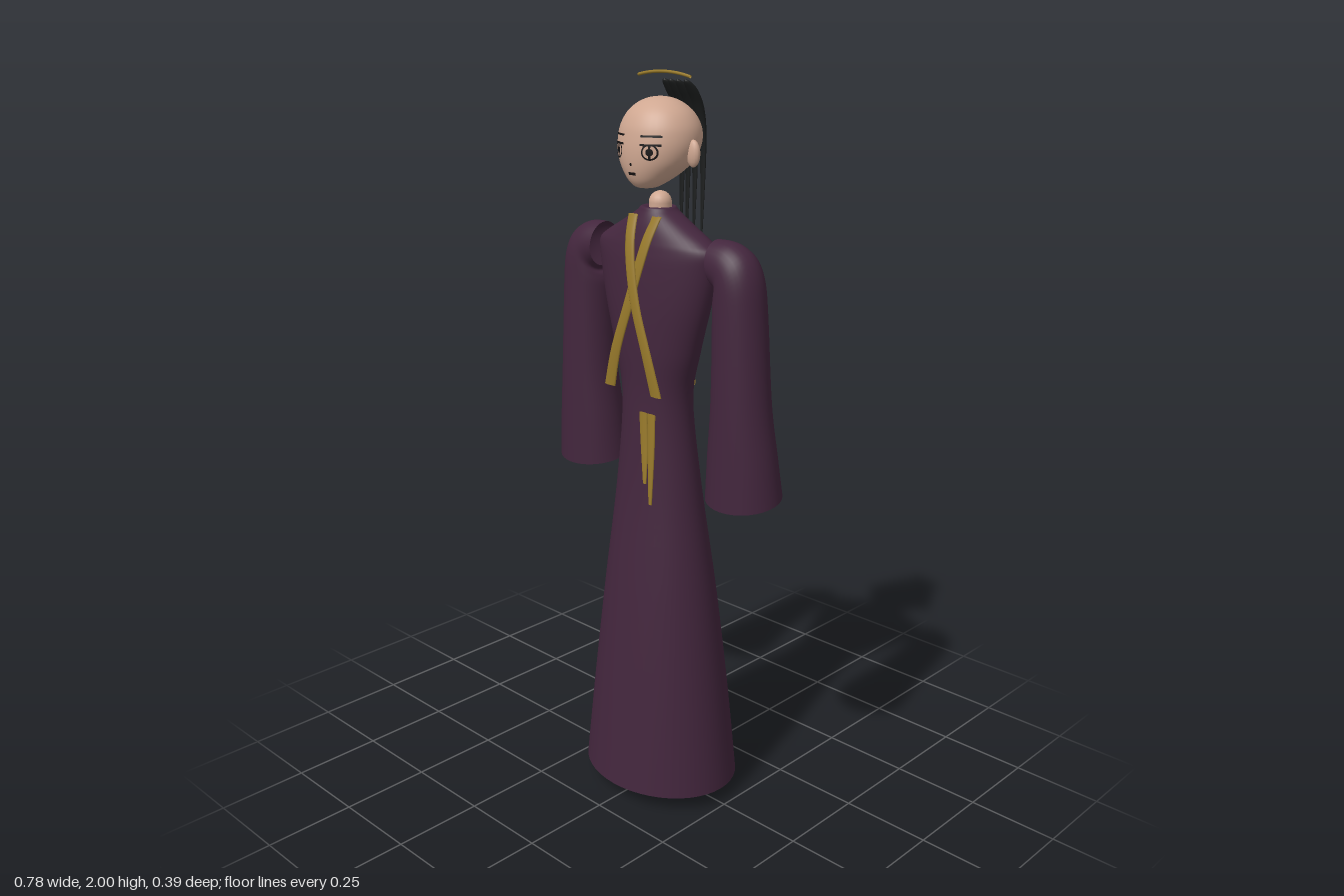
import * as THREE from 'three';

const D = THREE.DoubleSide;
const paint = (name, color, side = THREE.FrontSide) =>
  Object.assign(new THREE.MeshStandardMaterial({ color, side }), { name });

// Smoothly resample rows of numbers along their index
function smooth(rows, n) {
  const curves = rows[0].map((_, k) => new THREE.SplineCurve(rows.map((r, i) => new THREE.Vector2(i, r[k]))));
  return Array.from({ length: n + 1 }, (_, i) => curves.map(c => c.getPoint(i / n).y));
}

// Skin a list of closed rings; rings run from bottom to top
function loft(rings) {
  const n = rings[0].length, pos = rings.flat(2), idx = [];
  for (let j = 0; j < rings.length - 1; j++) {
    for (let i = 0; i < n; i++) {
      const a = j * n + i, b = j * n + (i + 1) % n;
      idx.push(a, a + n, b, b, a + n, b + n);
    }
  }
  const g = new THREE.BufferGeometry();
  g.setAttribute('position', new THREE.Float32BufferAttribute(pos, 3));
  g.setIndex(idx);
  g.computeVertexNormals();
  return g;
}

// Horizontal ellipses: row = [x, y, z, halfWidth, halfDepth]
const ellipses = (rows, sides) => loft(rows.map(([x, y, z, a, b]) =>
  Array.from({ length: sides }, (_, i) => {
    const t = i / sides * Math.PI * 2;
    return [x + a * Math.cos(t), y, z + b * Math.sin(t)];
  })));

// Body profile [y, halfWidth, front z, back z] to ellipse rows
const body = (profile, n) =>
  smooth(profile.map(([y, a, f, b]) => [0, y, (f + b) / 2, a, (f - b) / 2]), n);

// Depth of a body surface at x, y (dir 1 = front, -1 = back)
function surfaceZ(rows, x, y, dir) {
  let i = 0;
  while (i < rows.length - 2 && rows[i + 1][1] < y) i++;
  const p = rows[i], q = rows[i + 1];
  const k = THREE.MathUtils.clamp((y - p[1]) / (q[1] - p[1]), 0, 1);
  const [z, a, b] = [2, 3, 4].map(c => p[c] + (q[c] - p[c]) * k);
  return z + dir * b * Math.sqrt(Math.max(0, 1 - (x / a) ** 2));
}

// Lay a flat geometry onto a body surface
function drape(g, rows, dir, gap, sag = 0) {
  const p = g.attributes.position;
  for (let i = 0; i < p.count; i++) {
    const x = p.getX(i), y = p.getY(i) + sag * x * x;
    p.setXYZ(i, x, y, surfaceZ(rows, x, y, dir) + dir * gap);
  }
  g.computeVertexNormals();
  return g;
}

export function createModel() {
  const model = new THREE.Group();
  const robe = paint('plum robe', 0x43263d, D);
  const gold = paint('gold trim', 0x97792b, D);
  const skin = paint('skin', 0xcfa791);
  const hair = paint('black hair', 0x1b1d1d, D);
  const shoe = paint('dark shoes', 0x2e2822);
  const ink = paint('face ink', 0x151212, D);
  const add = (name, g, m, x = 0, y = 0, z = 0) => {
    const mesh = new THREE.Mesh(g, m);
    mesh.name = name;
    mesh.position.set(x, y, z);
    model.add(mesh);
    return mesh;
  };

  // Long robe, open at the hem
  const robeRows = body([
    [0.05, 0.236, 0.193, -0.193], [0.32, 0.207, 0.168, -0.168], [0.62, 0.171, 0.137, -0.133],
    [0.92, 0.13, 0.104, -0.09], [1.16, 0.107, 0.092, -0.067], [1.3, 0.139, 0.095, -0.066],
    [1.42, 0.174, 0.095, -0.068], [1.52, 0.198, 0.09, -0.07], [1.565, 0.204, 0.084, -0.068],
    [1.59, 0.175, 0.079, -0.062], [1.625, 0.112, 0.07, -0.052], [1.655, 0.06, 0.058, -0.04],
    [1.667, 0.045, 0.05, -0.034], [1.662, 0.028, 0.028, -0.028]], 78);
  add('robe', ellipses(robeRows, 48), robe);

  // Head with a forward jaw, and neck
  const headRows = body([
    [1.715, 0.001, 0.052, 0.05], [1.719, 0.027, 0.078, 0.024], [1.732, 0.05, 0.092, -0.004],
    [1.753, 0.074, 0.101, -0.042], [1.78, 0.096, 0.106, -0.074], [1.81, 0.108, 0.107, -0.092],
    [1.84, 0.111, 0.104, -0.1], [1.87, 0.105, 0.097, -0.096], [1.9, 0.087, 0.081, -0.079],
    [1.922, 0.06, 0.057, -0.054], [1.934, 0.031, 0.03, -0.027], [1.938, 0.001, 0.002, 0]], 55);
  add('head', ellipses(headRows, 40), skin);
  add('neck', new THREE.CapsuleGeometry(0.03, 0.05, 6, 20), skin, 0, 1.65, 0.002);

  // Mouth and nose mark
  const mouth = new THREE.PlaneGeometry(0.024, 0.007, 4, 1).translate(0, 1.755, 0);
  add('mouth', drape(mouth, headRows, 1, 0.002), ink);
  const nose = new THREE.CircleGeometry(0.004, 8).translate(0, 1.778, 0);
  add('nose', drape(nose, headRows, 1, 0.002), ink);

  for (const s of [-1, 1]) {
    const side = s > 0 ? 'left' : 'right';

    // Eye: ring, pupil, lashes and brow
    const feature = (name, g, x, y) =>
      add(side + name, drape(g.translate(s * x, y, 0), headRows, 1, 0.002), ink);
    feature('EyeRing', new THREE.RingGeometry(0.016, 0.02, 20), 0.053, 1.81);
    feature('Pupil', new THREE.CircleGeometry(0.009, 12), 0.053, 1.81);
    feature('LashLine', new THREE.PlaneGeometry(0.05, 0.005, 8, 1), 0.053, 1.827);
    feature('EyeCross', new THREE.PlaneGeometry(0.005, 0.036, 1, 4), 0.053, 1.81);
    feature('Brow', new THREE.PlaneGeometry(0.05, 0.005, 8, 1), 0.053, 1.848);

    add(side + 'Ear', new THREE.SphereGeometry(1, 14, 10), skin, s * 0.113, 1.805, 0.002)
      .scale.set(0.021, 0.034, 0.013);

    // Bell sleeve: [x, y, z, half width, half depth, ring angle, hem slope]
    const sleeve = smooth([
      [0.281, 0.94, -0.019, 0.107, 0.092, 0, 0.2], [0.281, 1.05, -0.011, 0.097, 0.083, 0, 0.12],
      [0.28, 1.2, -0.003, 0.081, 0.074, 0, 0], [0.274, 1.41, 0, 0.072, 0.069, 8, 0],
      [0.266, 1.5, 0.002, 0.073, 0.066, 38, 0], [0.244, 1.535, 0.004, 0.067, 0.06, 70, 0],
      [0.206, 1.545, 0.006, 0.06, 0.054, 95, 0]], 36);
    add(side + 'Sleeve', loft(sleeve.map(([x, y, z, a, b, deg, slope]) =>
      Array.from({ length: 32 }, (_, i) => {
        const t = i / 32 * Math.PI * 2, u = a * Math.cos(t), v = b * Math.sin(t);
        const r = THREE.MathUtils.degToRad(deg);
        return [s * (x + u * Math.cos(r)), y + u * Math.sin(r) - slope * v, z + v];
      }))), robe);

    // Hand tucked inside the sleeve
    add(side + 'Palm', new THREE.BoxGeometry(0.022, 0.07, 0.062), skin, s * 0.28, 1.055, -0.015);
    for (let f = 0; f < 4; f++)
      add(side + 'Finger', new THREE.CapsuleGeometry(0.007, 0.055, 3, 8), skin, s * 0.28, 1.0, -0.039 + f * 0.016);

    // Shoe pointing down and forward
    add(side + 'Shoe', new THREE.CapsuleGeometry(0.026, 0.11, 6, 14), shoe, s * 0.092, 0.059, 0.044)
      .rotation.x = Math.PI / 2 + 0.55;

    // Crossed chest sash
    const sash = smooth([
      [0.087, 1.195, 0.106, 0.02, 0.004], [0.058, 1.3, 0.111, 0.018, 0.004],
      [0.016, 1.42, 0.108, 0.017, 0.004], [-0.012, 1.52, 0.097, 0.017, 0.004],
      [-0.028, 1.59, 0.082, 0.017, 0.004], [-0.04, 1.648, 0.058, 0.017, 0.004]], 24);
    add(side + 'Sash', ellipses(sash.map(([x, y, z, a, b]) => [s * x, y, z + s * 0.002, a, b]), 10), gold);
  }

  // Hanging belt ends
  for (const [x0, x1, low] of [[0.029, 0.046, 0.95], [0.058, 0.066, 0.895]]) {
    const rows = smooth([[x1, low, 0.109, 0.006, 0.003], [(x0 + x1) / 2, 1.04, 0.101, 0.013, 0.004],
      [x0, 1.14, 0.096, 0.015, 0.004]], 10);
    add('beltEnd', ellipses(rows, 10), gold);
  }

  // Belt strip across the back
  const belt = new THREE.PlaneGeometry(0.18, 0.032, 20, 2);
  const bp = belt.attributes.position;
  for (let i = 0; i < bp.count; i++)
    bp.setY(i, 1.185 + bp.getY(i) * (1 - 0.7 * (bp.getX(i) / 0.09) ** 2));
  add('backBelt', drape(belt, robeRows, -1, 0.005, 3), gold);

  // Topknot locks falling down the back
  for (const x of [-0.037, -0.0125, 0.0125, 0.037]) {
    const z = Math.abs(x) > 0.02 ? -0.004 : 0;
    const lock = smooth([
      [x, 1.475, -0.107, 0.001, 0.001], [x, 1.6, -0.11, 0.004, 0.002], [x, 1.75, -0.113, 0.009, 0.004],
      [x, 1.85, -0.109, 0.013, 0.007], [x, 1.91, -0.094, 0.0145, 0.013], [x, 1.95, -0.07, 0.0145, 0.015],
      [x, 1.97, -0.052, 0.01, 0.009], [x, 1.977, -0.046, 0.001, 0.001]], 32);
    add('hairLock', ellipses(lock, 12), hair, 0, 0, z);
  }

  // Arched hairpin
  const arch = new THREE.QuadraticBezierCurve3(new THREE.Vector3(-0.09, 1.986, -0.011),
    new THREE.Vector3(0, 2.006, -0.011), new THREE.Vector3(0.09, 1.986, -0.011));
  add('hairpin', new THREE.TubeGeometry(arch, 16, 0.004, 8), gold);

  return model;
}
